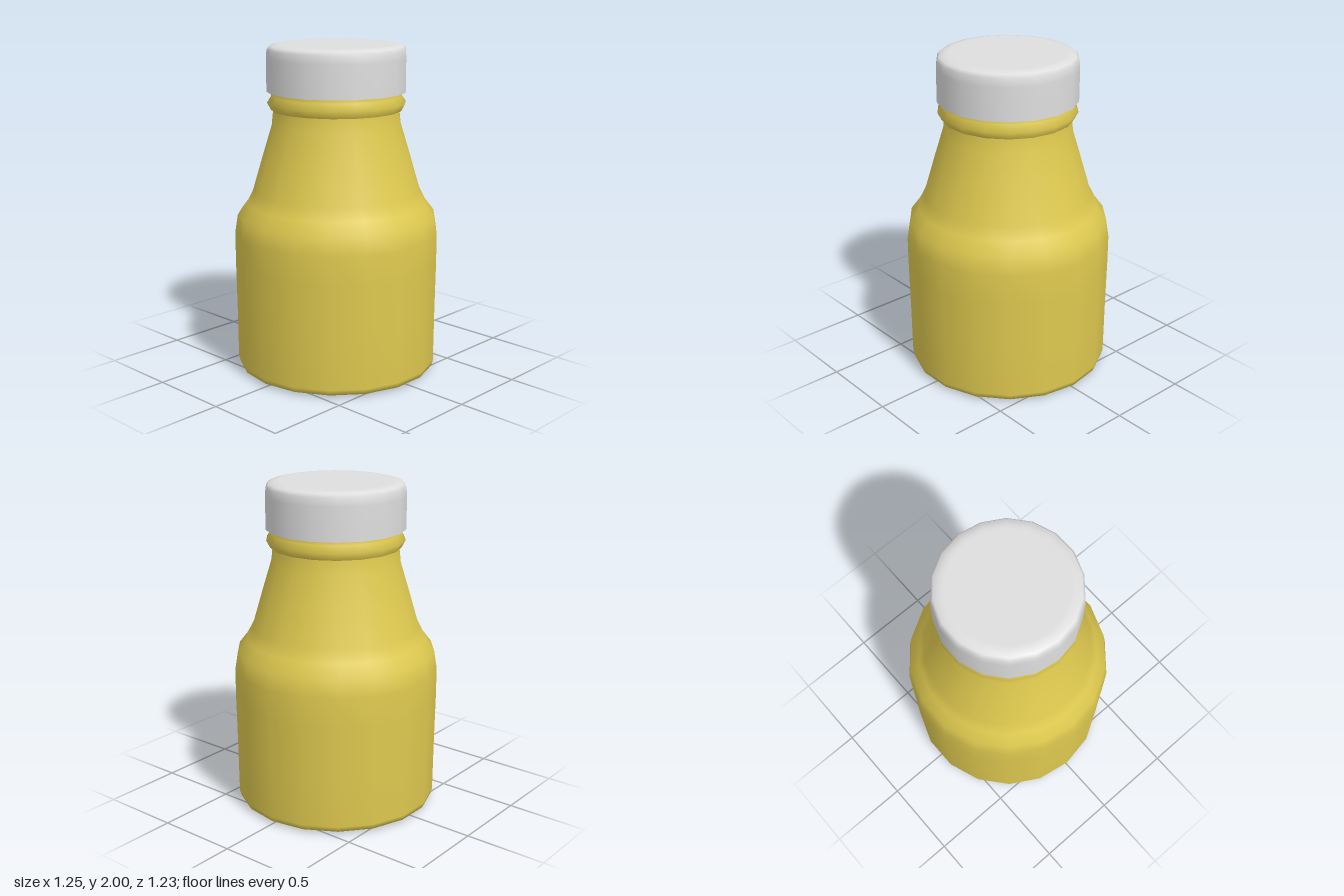
import * as THREE from 'three';

const SIDES = 18;

// Smooth lathe from [radius, height] pairs listed bottom to top, with a corner on +x and -x
function turned(name, profile, material) {
  const points = profile.map(([r, y]) => new THREE.Vector2(r, y));
  const mesh = new THREE.Mesh(new THREE.LatheGeometry(points, SIDES, Math.PI / 2), material);
  mesh.name = name;
  return mesh;
}

export function createModel() {
  const yellow = new THREE.MeshStandardMaterial({ color: 0xdec94f });
  yellow.name = 'mustard yellow';
  const white = new THREE.MeshStandardMaterial({ color: 0xdedede });
  white.name = 'cap white';

  const bottle = new THREE.Group();
  bottle.name = 'bottle';

  // Base, straight body, rounded shoulder and tapering neck
  bottle.add(turned('body', [
    [0, 0], [0.52, 0], [0.565, 0.005], [0.61, 0.018], [0.619, 0.05],
    [0.621, 0.36], [0.625, 0.68], [0.625, 0.86], [0.607, 0.97],
    [0.55, 1.045], [0.512, 1.12], [0.45, 1.33], [0.392, 1.52], [0.382, 1.615],
  ], yellow));

  // Flared collar under the cap, with a crisp lower ledge
  bottle.add(turned('collarLedge', [[0.375, 1.61], [0.395, 1.61]], yellow));
  bottle.add(turned('collar', [
    [0.395, 1.61], [0.419, 1.655], [0.393, 1.695], [0.393, 1.725],
  ], yellow));

  // Cap: flat underside, straight wall, rounded top edge
  bottle.add(turned('capUnderside', [[0, 1.72], [0.42, 1.72]], white));
  bottle.add(turned('cap', [
    [0.421, 1.72], [0.421, 1.92], [0.417, 1.97], [0.402, 1.99],
    [0.365, 1.999], [0.34, 2], [0, 2],
  ], white));

  return bottle;
}
